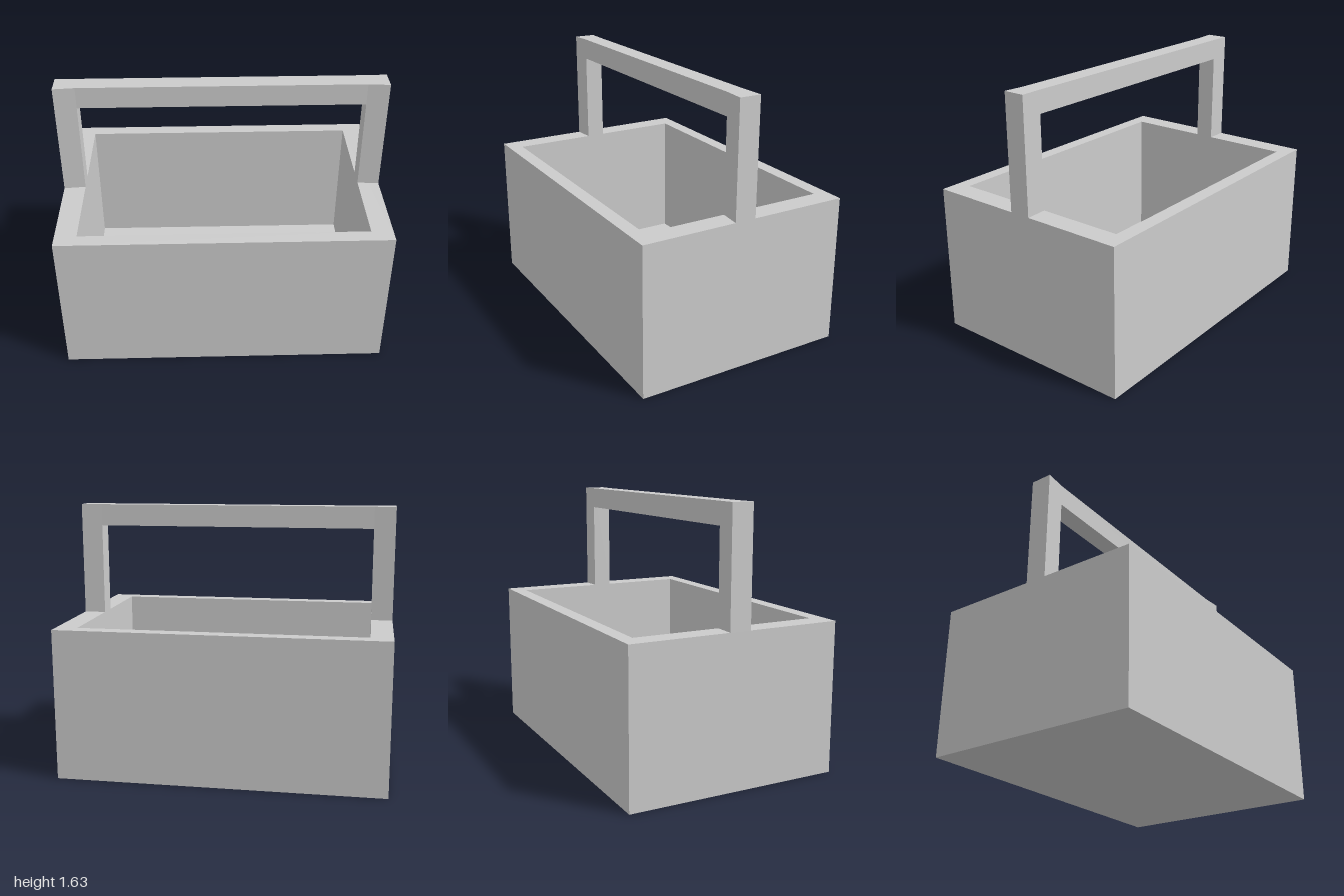
import * as THREE from 'three';

const material = new THREE.MeshStandardMaterial({ color: 0xcccccc, flatShading: true });

const outline = (pts) => pts.map(([x, z]) => new THREE.Vector2(x, -z));
const rect = (x, z) => [[-x, z], [x, z], [x, -z], [-x, -z]];

// Upright prism: a plan outline in (x, z), raised from y0 to y1, with an optional hole
function prism(name, plan, y0, y1, hole) {
  const shape = new THREE.Shape(outline(plan));
  if (hole) shape.holes.push(new THREE.Path(outline(hole)));
  const geometry = new THREE.ExtrudeGeometry(shape, { depth: y1 - y0, bevelEnabled: false });
  geometry.rotateX(-Math.PI / 2).translate(0, y0, 0);
  const mesh = new THREE.Mesh(geometry, material);
  mesh.name = name;
  return mesh;
}

export function createModel() {
  const model = new THREE.Group();
  model.name = 'carryBox';

  const rimY = 0.93, topY = 1.635, gripY = 1.5;
  const outX = 1, inX = 0.868, outZ = 0.667, inZ = 0.58;

  // Open box: four walls and a floor set between them
  const box = new THREE.Group();
  box.name = 'box';
  box.add(prism('walls', rect(outX, outZ), 0, rimY, rect(inX, inZ)));
  box.add(prism('floor', rect(inX, inZ), 0, 0.1));

  // Handle: posts flare slightly in depth towards their outer faces
  const handle = new THREE.Group();
  handle.name = 'handle';
  const back = -0.049, front = 0.069;
  for (const s of [-1, 1]) {
    const plan = [[s * inX, front], [s * outX, 0.081], [s * outX, -0.053], [s * inX, back]];
    handle.add(prism(s > 0 ? 'leftPost' : 'rightPost', plan, rimY, topY));
  }
  handle.add(prism('grip', [[-inX, front], [inX, front], [inX, back], [-inX, back]], gripY, topY));

  model.add(box, handle);
  return model;
}
